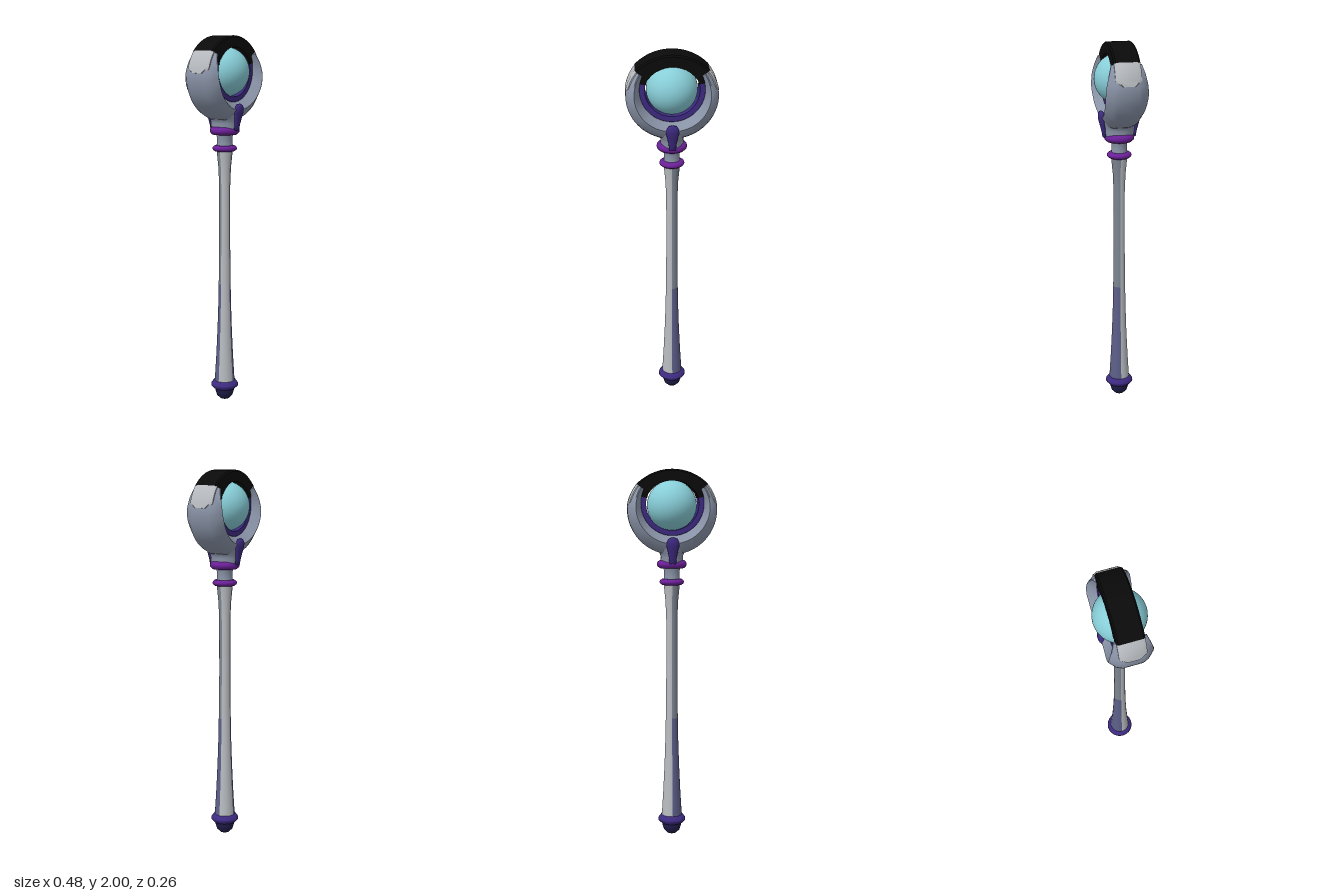
import * as THREE from 'three';
import { toCreasedNormals } from 'three/addons/utils/BufferGeometryUtils.js';

const mat = (name, color, side = THREE.FrontSide) => {
  const m = new THREE.MeshStandardMaterial({ color, side });
  m.name = name;
  return m;
};

// Skin a list of equal-length closed sections, with end caps
function loft(sections, crease = 0.6) {
  const n = sections[0].length, last = sections.length - 1, index = [];
  for (let i = 0; i < last; i++) {
    for (let j = 0; j < n; j++) {
      const a = i * n + j, b = i * n + (j + 1) % n;
      index.push(a, b, a + n, b, b + n, a + n);
    }
  }
  for (let j = 1; j < n - 1; j++) {
    index.push(0, j + 1, j, last * n, last * n + j, last * n + j + 1);
  }
  const g = new THREE.BufferGeometry();
  g.setAttribute('position', new THREE.Float32BufferAttribute(sections.flat(2), 3));
  g.setIndex(index);
  return toCreasedNormals(g, crease);
}

// Sweep a section of [radius, z] points around the head centre
function arc(from, to, steps, cy, section) {
  const list = [];
  for (let i = 0; i <= steps; i++) {
    const deg = from + (to - from) * i / steps, a = THREE.MathUtils.degToRad(deg);
    list.push(section(a, deg).map(([r, z]) => [r * Math.cos(a), cy + r * Math.sin(a), z]));
  }
  return loft(list);
}
const box = (inner, outer, hz, b = 0.008) => [
  [outer, hz - b], [outer, b - hz], [outer - b, -hz], [inner, -hz], [inner, hz], [outer - b, hz]];

// Piecewise linear lookup in [key, value] pairs
function lookup(pairs, k) {
  for (let i = 1; i < pairs.length; i++) {
    const [k0, v0] = pairs[i - 1], [k1, v1] = pairs[i];
    if (k <= k1) return v0 + (v1 - v0) * Math.max(0, (k - k0) / (k1 - k0));
  }
  return pairs[pairs.length - 1][1];
}

export function createModel() {
  const group = new THREE.Group();
  const steel = mat('steel', 0x8a94a8);
  const pale = mat('pale metal', 0xb8bcc0);
  const shade = mat('shaded metal', 0x7d8591);
  const dusk = mat('dusky metal', 0x5c5e88);
  const purple = mat('purple', 0x3d2a80);
  const magenta = mat('magenta', 0x6c2099);
  const navy = mat('navy', 0x1f1d4a);
  const black = mat('black', 0x0a0a0a);
  const aqua = mat('aqua', 0x88ced8);
  const add = (name, geometry, material) => {
    const m = new THREE.Mesh(geometry, material);
    m.name = name;
    group.add(m);
    return m;
  };
  const lathe = (pts, seg = 32, start = 0, len = Math.PI * 2) =>
    new THREE.LatheGeometry(pts.map(p => new THREE.Vector2(...p)), seg, start, len);

  // Handle in quarter columns: alternate quarters darken towards the foot
  const lower = [[0.057, 0.08], [0.053, 0.15], [0.047, 0.25], [0.04, 0.4], [0.035, 0.55], [0.033, 0.66]];
  const upper = [[0.033, 0.66], [0.03, 0.9], [0.03, 1.2], [0.034, 1.3], [0.042, 1.38], [0.045, 1.41]];
  for (let q = 0; q < 4; q++) {
    const start = q * Math.PI / 2, dark = q % 2 === 0;
    add('handleLower', lathe(lower, 6, start, Math.PI / 2), dark ? dusk : pale);
    add('handleUpper', lathe(upper, 6, start, Math.PI / 2), dark ? shade : pale);
  }

  // Pommel
  add('pommelBall', lathe([[0, 0], [0.025, 0.007], [0.043, 0.025], [0.051, 0.05], [0.052, 0.075]]), navy);
  add('pommelFlange', lathe([[0.04, 0.06], [0.06, 0.067], [0.075, 0.083], [0.074, 0.093], [0.06, 0.112], [0, 0.114]]), purple);

  // Collars around the neck
  for (const [name, y, r, h] of [['lowerCollar', 1.405, 0.066, 0.016], ['upperCollar', 1.5, 0.08, 0.021]]) {
    add(name, lathe([[0.02, y - h], [r - 0.014, y - h], [r - 0.003, y - h * 0.5], [r, y],
      [r - 0.003, y + h * 0.5], [r - 0.014, y + h], [0.02, y + h]]), magenta);
  }
  add('neck', lathe([[0.045, 1.4], [0.041, 1.43], [0.041, 1.46], [0.048, 1.49]]), steel);

  // Oval socket blending the neck into the head
  const socket = [[1.5, 0.062, 0.076], [1.54, 0.059, 0.08], [1.56, 0.066, 0.084],
    [1.58, 0.09, 0.088], [1.6, 0.115, 0.088], [1.64, 0.11, 0.075]];
  add('socket', loft(socket.map(([y, rx, rz]) => Array.from({ length: 28 }, (_, j) => {
    const a = j / 28 * Math.PI * 2;
    return [rx * Math.cos(a), y, -rz * Math.sin(a)];
  })), 0.9), steel);

  // Open head ring: thick at the sides, slimmer towards the tips and the foot
  const CY = 1.79, TIP = 35;
  const outer = a => 0.237 - 0.011 * Math.max(0, Math.sin(a)) / Math.sin(TIP * Math.PI / 180);
  const inner = a => 0.03 * Math.sin(a) + Math.sqrt(0.165 ** 2 - (0.03 * Math.cos(a)) ** 2);
  const widths = [[1.55, 0.08], [1.6, 0.097], [1.66, 0.107], [1.74, 0.112], [1.8, 0.108], [1.86, 0.095], [1.92, 0.075]];
  add('headRing', arc(-180 - TIP, TIP, 56, CY, a => {
    const ro = outer(a), ri = inner(a), rr = ri + (ro - ri) * 0.42;
    const w = lookup(widths, CY + rr * Math.sin(a));
    const half = [[ro, w * 0.45], [ro - 0.012, w * 0.7], [rr + 0.005, w * 0.98], [rr, w], [ri, 0.06]];
    return [...half.slice(0, 1), ...half.map(([r, z]) => [r, -z]), ...half.slice(1).reverse()];
  }), steel);

  // Pale pads near the ring tips, rounded at their lower end
  const pad = arc(4, TIP, 12, CY, (a, deg) => {
    const hz = 0.068 * Math.sqrt(Math.min(1, 0.3 + (deg - 4) / 8));
    const r = outer(a);
    return [[r + 0.003, hz * 0.75], [r + 0.003, -hz * 0.75], [r - 0.006, -hz],
      [r - 0.012, -hz], [r - 0.012, hz], [r - 0.006, hz]];
  });
  add('leftPad', pad, pale);
  add('rightPad', pad, pale).rotation.y = Math.PI;

  // Black bridge closing the ring over the top
  add('bridge', arc(TIP, 180 - TIP, 32, CY, a => {
    const k = (Math.sin(a) - 0.574) / 0.426;
    return box(0.15, 0.229 - 0.019 * k, 0.068);
  }), black);

  // Inner lining: black above, purple below
  add('upperLining', arc(12, 168, 32, 1.82, () => box(0.137, 0.169, 0.066, 0.003)), black);
  add('lowerLining', arc(-192, 12, 44, 1.82, () => box(0.139, 0.169, 0.064, 0.003)), purple);

  // Orb
  add('orb', new THREE.SphereGeometry(0.132, 40, 28), aqua).position.y = 1.81;

  // Teardrop ornaments, front and back
  const drop = lathe([[0, -0.075], [0.018, -0.07], [0.02, -0.04], [0.027, -0.005], [0.034, 0.025],
    [0.033, 0.045], [0.022, 0.064], [0, 0.073]], 20);
  for (const s of [1, -1]) {
    const d = add(s > 0 ? 'frontTeardrop' : 'backTeardrop', drop, purple);
    d.position.set(0, 1.575, s * 0.089);
    d.rotation.x = s * 0.14;
    d.scale.z = 0.55;
  }
  return group;
}
